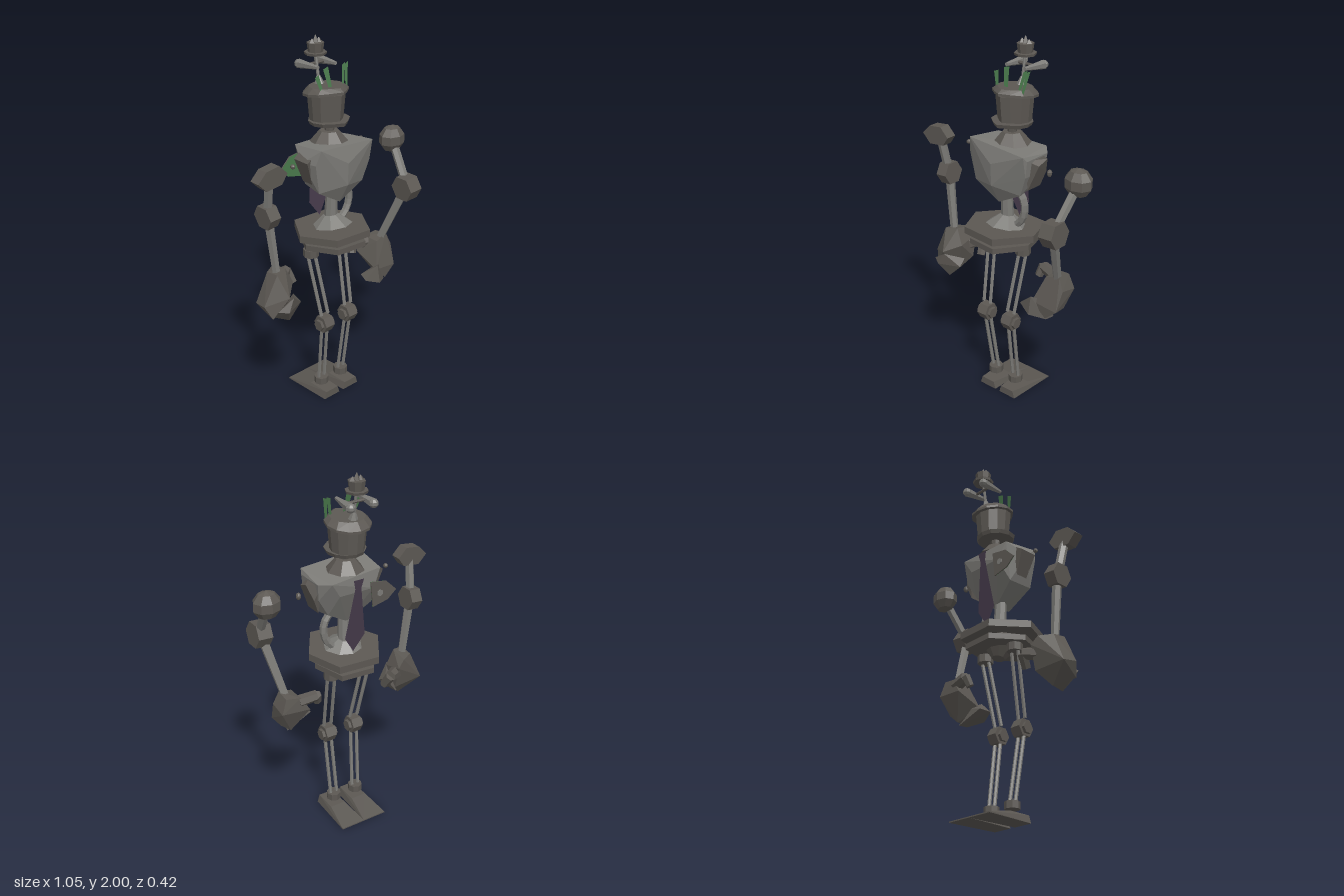
import * as THREE from 'three';
import { ConvexGeometry } from 'three/addons/geometries/ConvexGeometry.js';

const mat = (name, color, side = THREE.FrontSide) => {
  const m = new THREE.MeshStandardMaterial({ color, side, flatShading: true });
  m.name = name;
  return m;
};

export function createModel() {
  const iron = mat('dark iron', 0x5c5853);
  const steel = mat('light steel', 0x7c7b77);
  const green = mat('green', 0x4a7a4c, THREE.DoubleSide);
  const purple = mat('tie purple', 0x463a4b, THREE.DoubleSide);
  const root = new THREE.Group();
  const V = (p) => new THREE.Vector3(...p);

  const add = (name, geo, material, parent = root) => {
    const mesh = new THREE.Mesh(geo, material);
    mesh.name = name;
    parent.add(mesh);
    return mesh;
  };
  const group = (name) => {
    const g = new THREE.Group();
    g.name = name;
    root.add(g);
    return g;
  };
  // faceted solid around a few corner points
  const hull = (name, pts, material, parent) => add(name, new ConvexGeometry(pts.map(V)), material, parent);
  // tapered rod between two points
  const rod = (name, a, b, r0, r1, material, parent, sides = 6) => {
    const d = V(b).sub(V(a));
    const m = add(name, new THREE.CylinderGeometry(r1, r0, d.length(), sides), material, parent);
    m.position.copy(V(a)).addScaledVector(d, 0.5);
    m.quaternion.setFromUnitVectors(new THREE.Vector3(0, 1, 0), d.normalize());
    return m;
  };
  const ball = (name, p, s, material, parent) => {
    const m = add(name, new THREE.SphereGeometry(1, 8, 5), material, parent);
    m.position.set(...p);
    m.scale.set(...s);
    return m;
  };
  // flat plate from an outline in x and y
  const plate = (name, outline, z, material, parent) => {
    const s = new THREE.Shape(outline.map((p) => new THREE.Vector2(...p)));
    const m = add(name, new THREE.ShapeGeometry(s), material, parent);
    m.position.z = z;
    return m;
  };

  // head: teardrop brims around a tapered barrel
  const head = group('head');
  const tear = (r, y, tilt = 0, zc = -0.05) => Array.from({ length: 12 }, (_, i) => {
    const a = (i / 12) * Math.PI * 2, c = Math.cos(a);
    const z = r * c * (i === 0 ? 1.12 : 1);
    return [0.01 + r * Math.sin(a) * (c > 0.6 ? 0.85 : 1), y + tilt * z, zc + z];
  });
  hull('headBarrel', [...tear(0.088, 1.59), ...tear(0.1, 1.735)], iron, head);
  hull('lowerBrim', [...tear(0.1, 1.575, 0.05, -0.03), ...tear(0.108, 1.595, 0.05, -0.03)], iron, head);
  hull('upperBrim', [...tear(0.118, 1.725, 0.14, -0.055), ...tear(0.118, 1.738, 0.14, -0.055),
    ...tear(0.09, 1.765, 0.06)], iron, head);
  rod('stalkBase', [0.01, 1.75, -0.1], [0.01, 1.8, -0.11], 0.03, 0.01, steel, head);
  rod('stalk', [0.01, 1.76, -0.105], [0.01, 1.92, -0.13], 0.009, 0.007, steel, head);

  // green feathers standing on the hat
  for (const [x0, x1, y1, w] of [[-0.062, -0.083, 1.84, 0.013], [-0.005, -0.02, 1.87, 0.017],
    [0.075, 0.1, 1.87, 0.012], [0.1, 0.118, 1.87, 0.012]]) {
    const f = plate('feather', [[x0 - w * 0.6, 1.75], [x0 + w * 0.6, 1.75], [x1 + w, y1], [x1 - w, y1 - 0.01]], 0, green, head);
    f.geometry.translate(0, -1.75, 0);
    f.position.set(0, 1.75, 0);
    f.rotation.x = -0.2;
  }

  // small hat and horns
  const topHat = group('smallHat');
  rod('smallBrim', [0.01, 1.905, -0.13], [0.01, 1.918, -0.13], 0.055, 0.058, iron, topHat, 8);
  rod('smallCrown', [0.01, 1.918, -0.13], [0.01, 1.965, -0.13], 0.038, 0.044, iron, topHat, 8);
  for (const [x, h] of [[-0.012, 1.985], [0.01, 2], [0.032, 1.985]])
    rod('crownPeak', [x, 1.96, -0.13], [x, h, -0.13], 0.022, 0.003, iron, topHat, 4);
  const horns = group('horns');
  for (const x of [-0.05, 0.08]) {
    rod('horn', [x * 0.9, 1.863, -0.05], [x, 1.857, -0.18], 0.01, 0.025, steel, horns);
    ball('hornTip', [x, 1.856, -0.185], [0.025, 0.024, 0.026], steel, horns);
  }
  rod('hornBar', [-0.05, 1.86, -0.13], [0.08, 1.86, -0.13], 0.008, 0.008, iron, horns);

  // neck and collar
  rod('neck', [0.01, 1.51, -0.03], [0.015, 1.59, -0.03], 0.022, 0.028, iron, root, 8);
  rod('collar', [0.01, 1.475, -0.03], [0.01, 1.535, -0.03], 0.1, 0.05, iron, root, 8);

  // chest
  hull('chest', [
    [-0.16, 1.5, 0.1], [0.19, 1.475, 0.1], [-0.15, 1.475, -0.11], [0.15, 1.46, -0.135], [0.2, 1.45, -0.08], [0.2, 1.45, 0.08],
    [-0.2, 1.42, 0], [-0.18, 1.42, 0.08], [0, 1.4, 0.125], [0.19, 1.36, 0.08], [0.19, 1.36, -0.07],
    [-0.15, 1.26, 0.07], [0.15, 1.25, 0.07], [0, 1.28, 0.12], [0, 1.17, 0.06], [0, 1.18, -0.03],
    [-0.13, 1.27, -0.06], [0.13, 1.26, -0.06], [-0.1, 1.38, -0.125], [0.1, 1.38, -0.125]], steel);
  hull('shoulderSocket', [[0.17, 1.44, 0.05], [0.17, 1.44, -0.07], [0.24, 1.445, -0.03], [0.235, 1.42, 0.03],
    [0.18, 1.28, -0.05], [0.18, 1.28, 0.05], [0.21, 1.36, -0.06]], iron);
  hull('shoulderSocket', [[-0.16, 1.46, 0.05], [-0.16, 1.46, -0.06], [-0.208, 1.43, -0.05], [-0.208, 1.43, 0.05],
    [-0.16, 1.3, 0.03], [-0.16, 1.3, -0.04]], iron);
  ball('looseJoint', [-0.26, 1.417, 0], [0.013, 0.013, 0.013], iron);
  ball('looseJoint', [0.27, 1.382, -0.01], [0.014, 0.02, 0.014], iron);

  // chest flap with a stud
  const flap = group('backFlap');
  const flapOutline = [[-0.075, 1.42], [-0.17, 1.405], [-0.232, 1.345], [-0.18, 1.3], [-0.09, 1.28]];
  plate('flapLining', flapOutline, -0.13, green, flap);
  hull('flapCover', [-0.131, -0.137].flatMap((z) => flapOutline.map(([x, y]) => [x, y, z])), iron, flap);
  rod('flapStud', [-0.13, 1.35, -0.136], [-0.13, 1.35, -0.142], 0.018, 0.018, steel, flap);

  // necktie hanging down the back
  const tie = plate('necktie', [[-0.03, 0], [0.03, 0], [0.018, -0.05], [0.06, -0.33], [0.005, -0.42], [-0.06, -0.33], [-0.018, -0.05]],
    0, purple);
  tie.position.set(0, 1.455, -0.142);
  tie.rotation.x = -0.1;

  // waist
  rod('spine', [0, 1.03, -0.01], [0, 1.22, 0], 0.036, 0.03, steel, root, 8);
  rod('waistCone', [0, 1.02, 0], [0, 1.075, -0.01], 0.11, 0.04, steel, root, 8);
  const pipePath = new THREE.CatmullRomCurve3([[0.07, 1.25, 0], [0.115, 1.19, 0], [0.12, 1.12, 0], [0.09, 1.06, 0], [0.05, 1.03, 0]].map(V));
  add('waistPipe', new THREE.TubeGeometry(pipePath, 8, 0.02, 6), steel);
  const beltOutline = [[-0.22, 0], [-0.13, 0.185], [0.08, 0.205], [0.2, 0.02], [0.13, -0.17], [-0.1, -0.185]];
  const belt = (name, s, y0, y1) => hull(name, [y0, y1].flatMap((y) =>
    beltOutline.map(([x, z]) => [x * s, y + z * 0.06, z * (s + 1) / 2])), iron);
  belt('upperBelt', 1, 0.983, 1.022);
  belt('lowerBelt', 0.82, 0.925, 0.955);
  rod('beltCore', [0, 0.95, 0], [0, 0.99, 0], 0.11, 0.11, iron, root, 8);
  rod('pelvis', [0, 0.87, -0.02], [0, 0.93, -0.01], 0.035, 0.08, iron, root, 8);

  // legs of paired rods with hip, knee, ankle and foot
  const legs = [
    { name: 'rightLeg', hip: -0.125, knee: -0.098, ankle: -0.078, foot: -0.07 },
    { name: 'leftLeg', hip: 0.092, knee: 0.072, ankle: 0.066, foot: 0.07 },
  ];
  for (const { name, hip, knee, ankle, foot } of legs) {
    const g = group(name);
    rod('hipBlock', [hip, 0.868, -0.025], [hip, 0.91, -0.025], 0.042, 0.042, iron, g, 8);
    for (const o of [-0.023, 0.023]) {
      rod('thighRod', [hip + o, 0.88, -0.025], [knee + o, 0.53, 0.05], 0.01, 0.01, steel, g);
      rod('shinRod', [knee + o * 0.85, 0.47, 0.05], [ankle + o * 0.85, 0.09, 0], 0.01, 0.01, steel, g);
    }
    rod('kneeAxle', [knee - 0.046, 0.475, 0.05], [knee + 0.046, 0.475, 0.05], 0.032, 0.032, iron, g);
    rod('knee', [knee - 0.03, 0.478, 0.05], [knee + 0.03, 0.478, 0.05], 0.05, 0.05, iron, g);
    rod('ankle', [ankle, 0.062, 0], [ankle, 0.1, 0], 0.04, 0.04, iron, g, 8);
    hull('foot', [[-0.055, 0, 0.08], [0.055, 0, 0.08], [-0.042, 0.042, 0.08], [0.042, 0.042, 0.08],
      [-0.045, 0.042, -0.05], [0.045, 0.042, -0.05], [-0.07, 0, -0.21], [0.07, 0, -0.21],
      [-0.07, 0.006, -0.21], [0.07, 0.006, -0.21]].map(([x, y, z]) => [x + foot, y, z]), iron, g);
  }

  // left arm, bent forward at the elbow
  const la = group('leftArm');
  ball('shoulder', [0.448, 1.383, -0.01], [0.078, 0.076, 0.064], iron, la);
  rod('upperArm', [0.445, 1.35, 0.01], [0.42, 1.17, 0.13], 0.024, 0.024, steel, la);
  rod('elbow', [0.377, 1.15, 0.138], [0.459, 1.155, 0.138], 0.072, 0.072, iron, la);
  rod('forearm', [0.415, 1.15, 0.135], [0.352, 0.82, 0.01], 0.026, 0.022, steel, la);
  hull('palm', [[0.3, 0.83, 0.04], [0.38, 0.85, 0.03], [0.3, 0.83, -0.06], [0.38, 0.84, -0.05],
    [0.41, 0.78, 0.04], [0.41, 0.76, -0.06], [0.25, 0.75, -0.07], [0.4, 0.67, 0.08], [0.39, 0.66, 0],
    [0.33, 0.61, 0.08], [0.33, 0.61, 0], [0.25, 0.69, 0.09]], iron, la);
  hull('fingers', [[0.25, 0.72, 0.1], [0.17, 0.65, 0.09], [0.25, 0.62, 0.12], [0.33, 0.6, 0.07],
    [0.19, 0.66, 0.03], [0.32, 0.7, 0.05], [0.34, 0.6, 0.02]], iron, la);
  rod('thumb', [0.3, 0.8, -0.04], [0.205, 0.815, -0.06], 0.034, 0.03, iron, la);
  rod('thumbTip', [0.205, 0.82, -0.06], [0.19, 0.765, -0.04], 0.026, 0.022, iron, la);

  // right arm, hanging
  const ra = group('rightArm');
  const disc = [[-0.53, 1.42], [-0.48, 1.47], [-0.4, 1.48], [-0.35, 1.43], [-0.385, 1.38], [-0.48, 1.37]];
  hull('shoulder', [0.008, 0.068].flatMap((z) => disc.map(([x, y]) => [x, y, z])), iron, ra);
  rod('upperArm', [-0.435, 1.4, 0.03], [-0.42, 1.2, -0.01], 0.024, 0.024, steel, ra);
  rod('elbow', [-0.452, 1.195, -0.01], [-0.386, 1.2, -0.01], 0.066, 0.066, iron, ra);
  rod('forearm', [-0.415, 1.18, -0.01], [-0.382, 0.87, 0], 0.026, 0.022, steel, ra);
  hull('palm', [[-0.41, 0.88, 0.04], [-0.34, 0.89, 0.02], [-0.41, 0.87, -0.04], [-0.34, 0.87, -0.08],
    [-0.3, 0.83, -0.09], [-0.3, 0.8, 0.03], [-0.49, 0.72, 0.03], [-0.48, 0.71, -0.05],
    [-0.46, 0.65, 0.06], [-0.36, 0.62, 0], [-0.3, 0.7, -0.06], [-0.38, 0.76, 0.1]], iron, ra);
  hull('fingers', [[-0.45, 0.7, 0.09], [-0.36, 0.76, 0.11], [-0.28, 0.69, 0.07], [-0.36, 0.61, 0.07],
    [-0.44, 0.65, 0.05], [-0.29, 0.72, 0.02], [-0.35, 0.63, 0], [-0.4, 0.69, 0.12]], iron, ra);
  rod('thumb', [-0.31, 0.79, -0.05], [-0.245, 0.8, -0.09], 0.036, 0.03, iron, ra);
  rod('thumbTip', [-0.245, 0.8, -0.09], [-0.232, 0.735, -0.05], 0.028, 0.024, iron, ra);

  return root;
}
